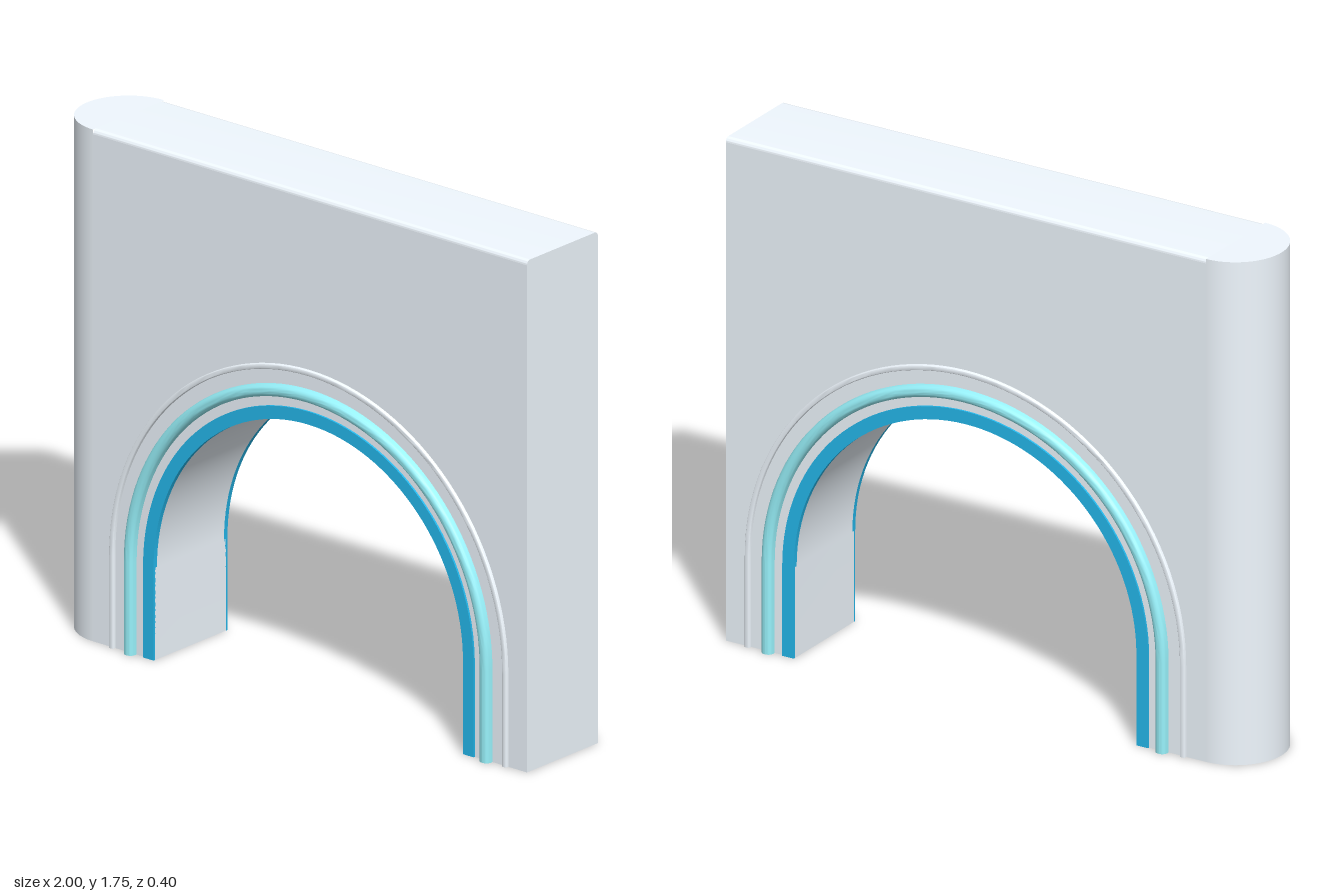
import * as THREE from 'three';
import { toCreasedNormals } from 'three/addons/utils/BufferGeometryUtils.js';

const HEIGHT = 1.75, HALF = 0.175, ROUND = 0.016;
const END_X = -1 + HALF;                     // where the rounded end begins
const ARCH_X = 0.086, ARCH_Y = 0.316, ARCH_R = 0.651;

const paleWhite = new THREE.MeshStandardMaterial({ color: 0xf0f8ff });
const blue = new THREE.MeshStandardMaterial({ color: 0x24b8ec });
const aqua = new THREE.MeshStandardMaterial({ color: 0x98f2fb });

function part(name, geometry, material) {
  const mesh = new THREE.Mesh(geometry, material);
  mesh.name = name;
  return mesh;
}

// Sweeps a convex [radius, z] profile up one jamb, over the arch and down the other
function archSweep(profile) {
  const stations = [[1, 0, 0]];              // outward x, outward y, base height
  const steps = 64;
  for (let i = 0; i <= steps; i++) {
    const a = (Math.PI * i) / steps;
    stations.push([Math.cos(a), Math.sin(a), ARCH_Y]);
  }
  stations.push([-1, 0, 0]);

  const n = profile.length, positions = [], index = [];
  for (const [nx, ny, y] of stations)
    for (const [r, z] of profile) positions.push(nx * r, y + ny * r, z);

  for (let i = 0; i < stations.length - 1; i++)
    for (let j = 0; j < n - 1; j++) {
      const a = i * n + j, b = a + n;
      index.push(a, a + 1, b, a + 1, b + 1, b);
    }
  // close both feet
  const last = (stations.length - 1) * n;
  for (let k = 1; k < n - 1; k++)
    index.push(0, k + 1, k, last, last + k, last + k + 1);

  const geometry = new THREE.BufferGeometry();
  geometry.setAttribute('position', new THREE.Float32BufferAttribute(positions, 3));
  geometry.setIndex(index);
  return toCreasedNormals(geometry, 0.6);
}

// Flat band section
const bandProfile = (r0, r1, z) => [[r0, HALF - 0.01], [r0, z], [r1, z], [r1, HALF - 0.01]];

// Raised section with rounded shoulders
function beadProfile(r0, r1, z, round) {
  const points = [[r0, HALF - 0.01]];
  for (const [cx, start] of [[r0 + round, Math.PI], [r1 - round, Math.PI / 2]])
    for (let i = 0; i <= 5; i++) {
      const a = start - (Math.PI / 2) * (i / 5);
      points.push([cx + round * Math.cos(a), z - round + round * Math.sin(a)]);
    }
  points.push([r1, HALF - 0.01]);
  return points;
}

export function createModel() {
  const model = new THREE.Group();
  model.name = 'archedWall';

  // Wall with the arch cut up from the floor
  const outline = new THREE.Shape();
  outline.moveTo(END_X, 0);
  outline.lineTo(ARCH_X - ARCH_R, 0);
  outline.lineTo(ARCH_X - ARCH_R, ARCH_Y);
  outline.absarc(ARCH_X, ARCH_Y, ARCH_R, Math.PI, 0, true);
  outline.lineTo(ARCH_X + ARCH_R, 0);
  outline.lineTo(1, 0);
  outline.lineTo(1, HEIGHT - ROUND);
  outline.lineTo(END_X, HEIGHT - ROUND);
  const wall = new THREE.ExtrudeGeometry(outline, { depth: 2 * HALF, bevelEnabled: false, curveSegments: 64 });
  wall.translate(0, 0, -HALF);
  model.add(part('wall', toCreasedNormals(wall, 0.6), paleWhite));

  // Top strip with softened long edges
  const section = new THREE.Shape();
  section.moveTo(-HALF, HEIGHT - ROUND);
  section.lineTo(HALF, HEIGHT - ROUND);
  section.absarc(HALF - ROUND, HEIGHT - ROUND, ROUND, 0, Math.PI / 2, false);
  section.absarc(-HALF + ROUND, HEIGHT - ROUND, ROUND, Math.PI / 2, Math.PI, false);
  const strip = new THREE.ExtrudeGeometry(section, { depth: 1 - END_X, bevelEnabled: false, curveSegments: 8 });
  strip.rotateY(Math.PI / 2);
  strip.translate(END_X, 0, 0);
  model.add(part('wallTop', toCreasedNormals(strip, 0.6), paleWhite));

  // Half-round end
  const end = new THREE.CylinderGeometry(HALF, HALF, HEIGHT, 40, 1, false, Math.PI, Math.PI);
  end.translate(END_X, HEIGHT / 2, 0);
  model.add(part('roundedEnd', end, paleWhite));

  // Arch mouldings, repeated on both faces
  const mouldings = [
    ['innerBand', archSweep(bandProfile(ARCH_R, 0.695, 0.182)), blue],
    ['middleBead', archSweep(beadProfile(0.728, 0.769, 0.202, 0.019)), aqua],
    ['outerBead', archSweep(beadProfile(0.818, 0.836, 0.187, 0.004)), paleWhite],
  ];
  for (const [face, turn] of [['front', 0], ['back', Math.PI]]) {
    const trim = new THREE.Group();
    trim.name = face + 'ArchTrim';
    trim.position.x = ARCH_X;
    trim.rotation.y = turn;
    for (const [name, geometry, material] of mouldings) trim.add(part(name, geometry, material));
    model.add(trim);
  }
  return model;
}
